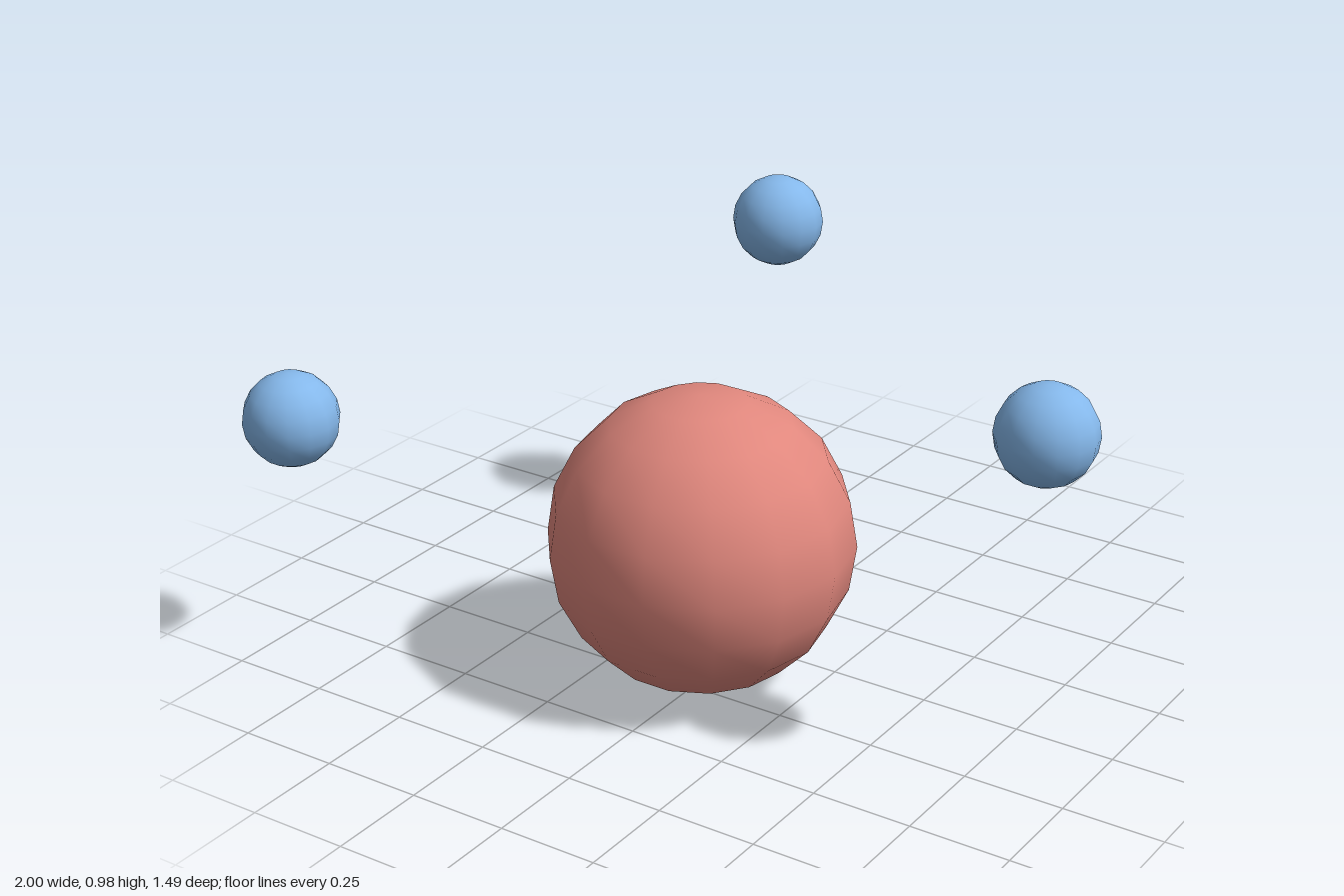
import * as THREE from 'three';

export function createModel() {
  const group = new THREE.Group();
  const red = new THREE.MeshStandardMaterial({ color: 0xe0877d });
  const blue = new THREE.MeshStandardMaterial({ color: 0x85b8eb });

  // 14 sides around and 10 rings give the faceted outline
  function addBall(name, radius, position, material) {
    const ball = new THREE.Mesh(new THREE.SphereGeometry(radius, 14, 10), material);
    ball.name = name;
    ball.position.set(...position);
    group.add(ball);
  }

  // Large central ball
  addBall('largeBall', 0.372, [-0.013, 0.372, 0.187], red);

  // Three small balls floating around it
  const smallBalls = {
    smallBallFront: [-0.883, 0.638, 0.633],
    smallBallBack: [-0.324, 0.863, -0.633],
    smallBallLeft: [0.883, 0.865, 0.187],
  };
  for (const [name, position] of Object.entries(smallBalls)) {
    addBall(name, 0.117, position, blue);
  }

  return group;
}
